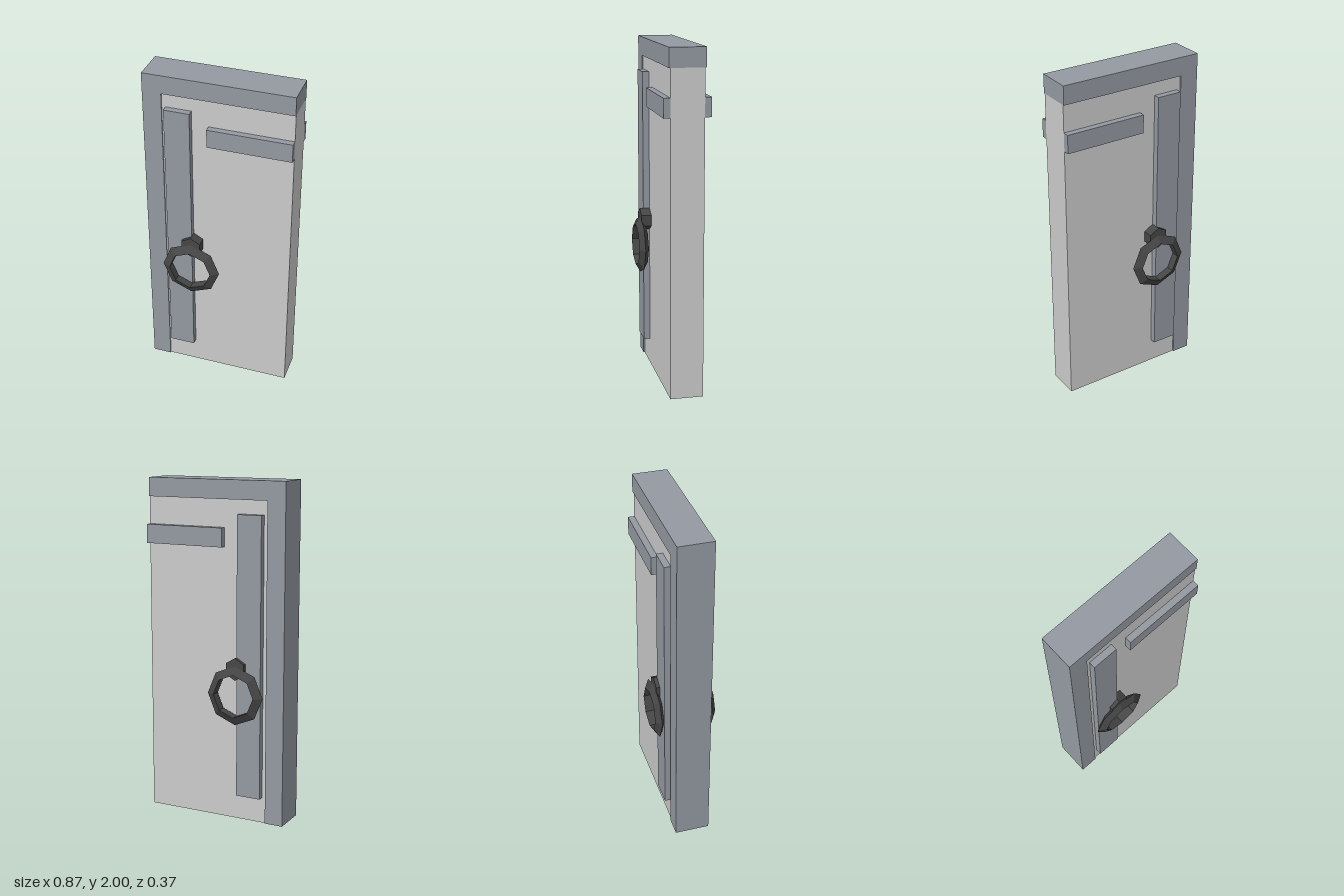
import * as THREE from 'three';

const mat = (color) => new THREE.MeshStandardMaterial({ color, flatShading: true });

export function createModel() {
  const model = new THREE.Group();
  model.name = 'door';
  const panelMat = mat(0xcccccc);
  const trimMat = mat(0x949aa2);
  const ironMat = mat(0x464646);

  const add = (parent, name, geometry, material, x = 0, y = 0, z = 0) => {
    const mesh = new THREE.Mesh(geometry, material);
    mesh.name = name;
    mesh.position.set(x, y, z);
    parent.add(mesh);
    return mesh;
  };
  // box given by its limits
  const box = (parent, name, material, x0, x1, y0, y1, z0, z1) =>
    add(parent, name, new THREE.BoxGeometry(x1 - x0, y1 - y0, z1 - z0), material,
      (x0 + x1) / 2, (y0 + y1) / 2, (z0 + z1) / 2);

  // door leaf
  box(model, 'panel', panelMat, -0.325, 0.436, 0, 1.89, -0.096, 0.096);

  // L-shaped frame: one upright and the lintel
  const outline = new THREE.Shape([
    [-0.436, 0], [-0.325, 0], [-0.325, 1.89], [0.436, 1.89], [0.436, 2], [-0.436, 2],
  ].map(([x, y]) => new THREE.Vector2(x, y)));
  const frame = new THREE.ExtrudeGeometry(outline, { depth: 0.208, bevelEnabled: false });
  add(model, 'frame', frame, trimMat, 0, 0, -0.104);

  // raised trim and ring handle on both faces
  for (const [side, s] of [['front', 1], ['back', -1]]) {
    const face = new THREE.Group();
    face.name = side + 'Fittings';
    const zs = [0.096 * s, 0.134 * s].sort((a, b) => a - b);
    box(face, 'verticalPlate', trimMat, -0.303, -0.152, 0.155, 1.81, ...zs);
    box(face, 'horizontalPlate', trimMat, -0.054, 0.436, 1.62, 1.73, ...zs);

    // six-sided stud, one corner up
    const stud = new THREE.CylinderGeometry(0.066, 0.066, 0.06, 6).rotateX(Math.PI / 2);
    add(face, 'handleStud', stud, ironMat, -0.152, 0.925, 0.126 * s);

    // ring with a three-sided section and eight segments
    add(face, 'handleRing', new THREE.TorusGeometry(0.143, 0.033, 3, 8), ironMat, -0.152, 0.769, 0.154 * s);
    model.add(face);
  }
  return model;
}
